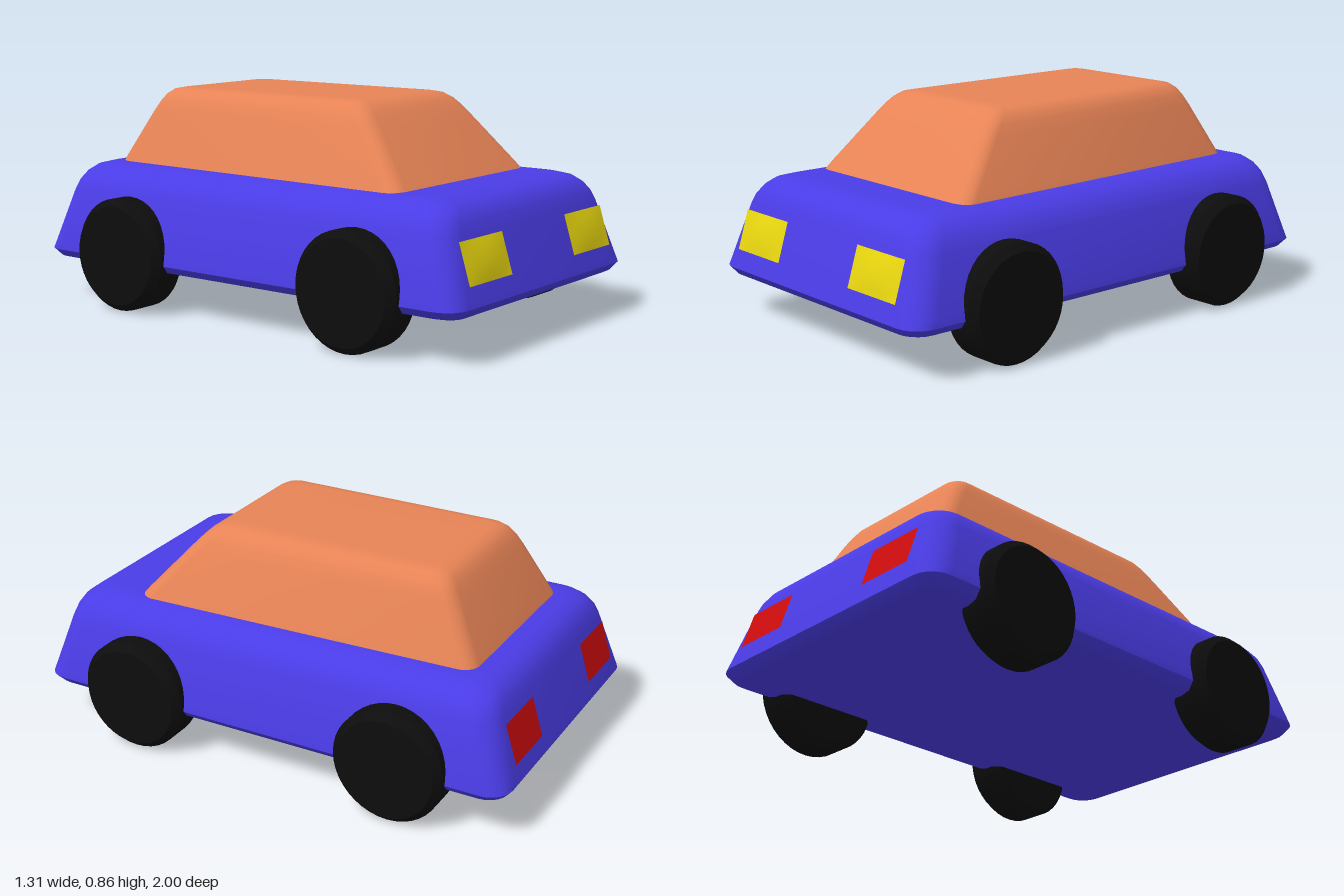
import * as THREE from 'three';
import { toCreasedNormals } from 'three/addons/utils/BufferGeometryUtils.js';

const material = (name, color) => {
  const m = new THREE.MeshStandardMaterial({ color });
  m.name = name;
  return m;
};

// Rounded plan outline, counter-clockwise from above.
// Section: [y, front z, rear z, front half width, rear half width, corner radius]
const STEPS = 5;
function outline([y, zf, zr, hf, hr, r]) {
  const points = [];
  const corners = [[hr, zr, 1, -1], [-hr, zr, -1, -1], [-hf, zf, -1, 1], [hf, zf, 1, 1]];
  corners.forEach(([x, z, sx, sz], k) => {
    for (let i = 0; i <= STEPS; i++) {
      const a = (k + i / STEPS) * Math.PI / 2;
      points.push(x - sx * r + r * Math.cos(a), y, z - sz * r - r * Math.sin(a));
    }
  });
  return points;
}

// Skin stacked sections from bottom to top and cap both ends.
function loft(sections, crease) {
  const n = 4 * (STEPS + 1);
  const positions = sections.flatMap(outline);
  const index = [];
  for (let s = 0; s < sections.length - 1; s++) {
    for (let i = 0; i < n; i++) {
      const a = s * n + i, b = s * n + (i + 1) % n;
      index.push(a, b, b + n, a, b + n, a + n);
    }
  }
  const last = (sections.length - 1) * n;
  for (let i = 1; i < n - 1; i++) {
    index.push(0, i + 1, i, last, last + i, last + i + 1);
  }
  const geometry = new THREE.BufferGeometry();
  geometry.setAttribute('position', new THREE.Float32BufferAttribute(positions, 3));
  geometry.setIndex(index);
  return toCreasedNormals(geometry, crease);
}

// Lamp panel leaning with the sloped end of the body, optionally domed.
function lampPanel(width, dome) {
  const geometry = new THREE.PlaneGeometry(width, 0.15, 8, 6);
  const p = geometry.attributes.position;
  for (let i = 0; i < p.count; i++) {
    const u = p.getX(i) / (width / 2), v = p.getY(i) / 0.075;
    p.setZ(i, -0.31 * p.getY(i) + dome * (1 - u * u) * (1 - v * v));
  }
  geometry.computeVertexNormals();
  return geometry;
}

export function createModel() {
  const car = new THREE.Group();
  car.name = 'car';
  const blue = material('blue paint', 0x4a3ce6);
  const orange = material('orange cabin', 0xe88456);
  const black = material('black rubber', 0x0d0d0d);
  const yellow = material('yellow lamp', 0xe8d60f);
  const red = material('red lamp', 0xd00d0d);

  const add = (name, geometry, mat, x = 0, y = 0, z = 0) => {
    const mesh = new THREE.Mesh(geometry, mat);
    mesh.name = name;
    mesh.position.set(x, y, z);
    car.add(mesh);
    return mesh;
  };

  // Body: bevelled sill, leaning sides, rounded shoulder, flat deck
  const body = [
    [0.16, 0.955, 0.545, 0.06],
    [0.17, 0.975, 0.585, 0.08],
    [0.2, 0.998, 0.612, 0.09],
    [0.225, 0.992, 0.61, 0.1],
    [0.44, 0.926, 0.56, 0.1],
    [0.48, 0.912, 0.544, 0.1],
    [0.515, 0.892, 0.518, 0.1],
    [0.54, 0.86, 0.485, 0.09],
    [0.553, 0.81, 0.44, 0.07],
    [0.555, 0.77, 0.4, 0.05],
  ].map(([y, z, x, r]) => [y, z, -z, x, x, r]);
  add('body', loft(body, 0.6), blue);

  // Cabin: raked windscreen, narrower towards the rear
  add('cabin', loft([
    [0.53, 0.66, -0.785, 0.45, 0.41, 0.06],
    [0.58, 0.62, -0.761, 0.43, 0.395, 0.06],
    [0.76, 0.464, -0.664, 0.352, 0.338, 0.06],
    [0.8, 0.428, -0.64, 0.334, 0.324, 0.06],
    [0.828, 0.4, -0.62, 0.315, 0.308, 0.06],
    [0.847, 0.368, -0.594, 0.288, 0.284, 0.05],
    [0.854, 0.33, -0.56, 0.255, 0.252, 0.04],
    [0.855, 0.29, -0.52, 0.22, 0.22, 0.03],
  ], 0.9), orange);

  // Wheels with bevelled rims
  const profile = [[0, -0.086], [0.195, -0.086], [0.222, -0.056], [0.222, 0.056], [0.195, 0.086], [0, 0.086]]
    .map(([x, y]) => new THREE.Vector2(x, y));
  const wheel = toCreasedNormals(new THREE.LatheGeometry(profile, 40), 0.5);
  wheel.rotateZ(Math.PI / 2);

  const headlight = lampPanel(0.275, 0.008);
  const tailLight = lampPanel(0.24, 0);
  for (const [side, s] of [['left', 1], ['right', -1]]) {
    add(side + 'FrontWheel', wheel, black, s * 0.57, 0.222, 0.553);
    add(side + 'RearWheel', wheel, black, s * 0.57, 0.222, -0.553);
    add(side + 'Headlight', headlight, yellow, s * 0.357, 0.35, 0.962);
    add(side + 'TailLight', tailLight, red, s * 0.355, 0.35, -0.963).rotation.y = Math.PI;
  }
  return car;
}
